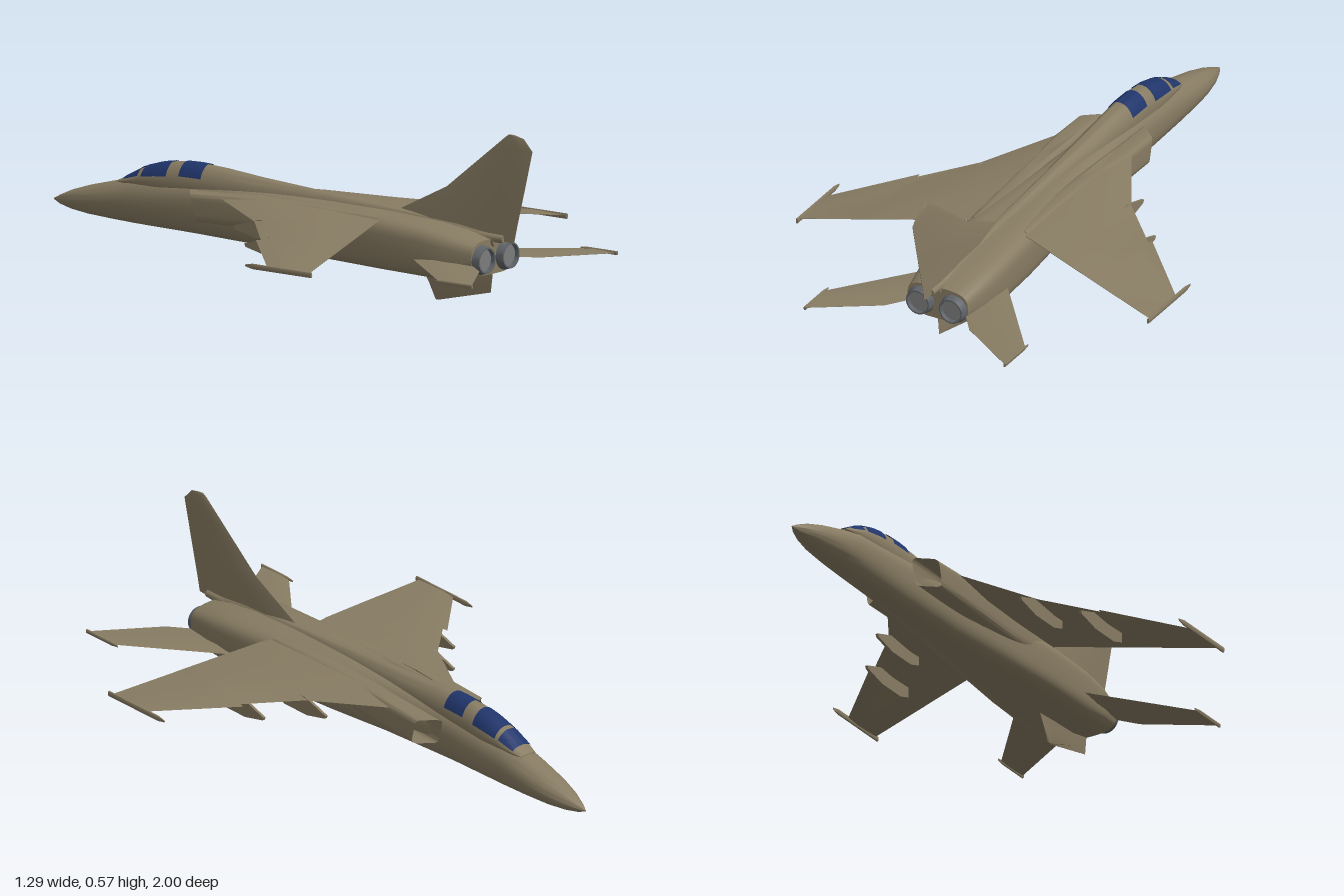
import * as THREE from 'three';
import { toCreasedNormals } from 'three/addons/utils/BufferGeometryUtils.js';

const mat = (name, color, side = THREE.DoubleSide) => {
  const m = new THREE.MeshStandardMaterial({ color, side });
  m.name = name;
  return m;
};

// Skin through rings of equal length; side -1 mirrors it in x
function loft(rings, { side = 1, capStart = true, capEnd = true, crease = 0.7, closed = true } = {}) {
  if (side < 0) rings = rings.map(r => r.map(p => new THREE.Vector3(-p.x, p.y, p.z)).reverse());
  const n = rings[0].length, pts = rings.flat(), index = [];
  for (let i = 0; i < rings.length - 1; i++) {
    for (let j = 0; j < (closed ? n : n - 1); j++) {
      const a = i * n + j, b = i * n + (j + 1) % n;
      index.push(a, b, a + n, b, b + n, a + n);
    }
  }
  const cap = (row, flip) => {
    const centre = rings[row].reduce((s, p) => s.add(p), new THREE.Vector3()).divideScalar(n);
    const c = pts.push(centre) - 1;
    for (let j = 0; j < n; j++) {
      const a = row * n + j, b = row * n + (j + 1) % n;
      index.push(c, flip ? b : a, flip ? a : b);
    }
  };
  if (capStart) cap(0, true);
  if (capEnd) cap(rings.length - 1, false);
  const g = new THREE.BufferGeometry().setFromPoints(pts);
  g.setIndex(index);
  return toCreasedNormals(g, crease);
}

// Superellipse section: [z, halfWidth, bottom, top, exponent, centreX]
function sectionPoint([z, w, yb, yt, e = 2, cx = 0], a, grow = 0) {
  const c = Math.cos(a), s = Math.sin(a), f = v => Math.sign(v) * Math.abs(v) ** (2 / e);
  return new THREE.Vector3(cx + (w + grow) * f(c), (yb + yt) / 2 + ((yt - yb) / 2 + grow) * f(s), z);
}
const ring = (s, n = 40) => Array.from({ length: n }, (_, j) => sectionPoint(s, j / n * Math.PI * 2));

// Linear lookup of a section at z
function sectionAt(list, z) {
  let i = 0;
  while (i < list.length - 2 && list[i + 1][0] < z) i++;
  const t = (z - list[i][0]) / (list[i + 1][0] - list[i][0]);
  return list[i].map((v, k) => v + (list[i + 1][k] - v) * t);
}

// Flying surface along +x: [span, leadingZ, trailingZ, y, thickness]
const profile = [[0.3, 0.5], [0.7, 0.32], [1, 0.03], [1, -0.03], [0.7, -0.32], [0.3, -0.5], [0, 0]];
const foil = (list, side = 1) => loft(
  list.map(([x, le, te, y, t]) => profile.map(([u, v]) => new THREE.Vector3(x, y + v * t, le + u * (te - le)))),
  { side, crease: 0.5 });

const BODY = [
  [-1, 0.001, 0.136, 0.139, 2], [-0.97, 0.016, 0.124, 0.155, 2], [-0.92, 0.034, 0.114, 0.177, 2],
  [-0.85, 0.05, 0.107, 0.2, 2], [-0.75, 0.06, 0.103, 0.226, 2.1], [-0.65, 0.064, 0.1, 0.25, 2.2],
  [-0.4, 0.066, 0.098, 0.268, 2.5], [-0.1, 0.08, 0.094, 0.272, 3], [0.15, 0.105, 0.09, 0.272, 3.6],
  [0.4, 0.124, 0.088, 0.268, 4], [0.6, 0.13, 0.086, 0.257, 4], [0.7, 0.126, 0.092, 0.245, 3.8],
  [0.79, 0.11, 0.112, 0.226, 3.4],
];
const SPINE = [
  [-0.72, 0.03, 0.228, 0.236], [-0.68, 0.04, 0.218, 0.256], [-0.62, 0.046, 0.2, 0.288],
  [-0.55, 0.05, 0.187, 0.309], [-0.48, 0.05, 0.181, 0.321], [-0.4, 0.05, 0.18, 0.324],
  [-0.3, 0.048, 0.186, 0.32], [-0.15, 0.042, 0.195, 0.308], [0.1, 0.03, 0.205, 0.294],
  [0.41, 0.022, 0.205, 0.278], [0.65, 0.018, 0.2, 0.262], [0.8, 0.014, 0.2, 0.24],
];
const INTAKE = [
  [-0.35, 0.034, 0.165, 0.254, 6, 0.104], [-0.2, 0.036, 0.165, 0.262, 5, 0.102],
  [-0.05, 0.036, 0.167, 0.268, 4, 0.094], [0.15, 0.034, 0.175, 0.268, 4, 0.084],
  [0.4, 0.03, 0.19, 0.262, 3, 0.08],
];

export function createModel() {
  const model = new THREE.Group();
  const tan = mat('tan paint', 0x877b62);
  const glass = mat('blue glass', 0x20356b);
  const metal = mat('nozzle metal', 0x5f6368);
  const exhaust = mat('exhaust grey', 0x7c7c7c);
  const add = (name, geometry, material = tan) => {
    const m = new THREE.Mesh(geometry, material);
    m.name = name;
    model.add(m);
    return m;
  };

  // Body and dorsal spine with canopy
  add('fuselage', loft(BODY.map(s => ring(s))));
  add('canopySpine', loft(SPINE.map(s => ring(s, 32))));

  // Canopy windows: [front z, back z, lower angle]
  const panes = { windscreen: [-0.688, -0.625, 0.42], frontWindow: [-0.61, -0.505, 0.36], rearWindow: [-0.455, -0.365, 0.42] };
  for (const [name, [z0, z1, low]] of Object.entries(panes)) {
    const rows = [];
    for (let i = 0; i <= 8; i++) {
      const s = sectionAt(SPINE, z0 + (z1 - z0) * i / 8);
      rows.push(Array.from({ length: 17 }, (_, j) => sectionPoint(s, low + (Math.PI - 2 * low) * j / 16, 0.003)));
    }
    add(name, loft(rows, { capStart: false, capEnd: false, closed: false }), glass);
  }

  // Fins
  add('tailFin', foil([
    [0.22, 0.36, 0.875, 0, 0.024], [0.276, 0.41, 0.888, 0, 0.022], [0.37, 0.6, 0.912, 0, 0.018],
    [0.523, 0.795, 0.95, 0, 0.011], [0.56, 0.842, 0.915, 0, 0.009], [0.568, 0.855, 0.88, 0, 0.007],
  ]).rotateZ(Math.PI / 2));
  add('ventralFin', foil([
    [-0.13, 0.48, 0.79, 0, 0.018], [-0.05, 0.53, 0.78, 0, 0.014], [-0.002, 0.555, 0.57, 0, 0.008],
  ]).rotateZ(-Math.PI / 2));
  const fairing = add('finFairing', new THREE.CylinderGeometry(0.013, 0.018, 0.12, 16).rotateX(Math.PI / 2));
  fairing.position.set(0, 0.228, 0.775);

  for (const side of [1, -1]) {
    const label = side > 0 ? 'left' : 'right';
    const part = (name, geometry, material) => add(label + name, geometry, material);

    // Open intake with a raked mouth
    const rings = INTAKE.map(s => ring(s));
    rings[0].forEach(p => { p.z += (p.x - 0.104) * 0.8 + (0.21 - p.y) * 0.25; });
    part('Intake', loft(rings, { side, capStart: false }));

    // Wing with a small dogtooth on the leading edge
    part('Wing', foil([
      [0.08, -0.3, 0.405, 0.255, 0.03], [0.138, -0.2, 0.423, 0.25, 0.03], [0.275, 0.04, 0.46, 0.23, 0.024],
      [0.42, 0.185, 0.498, 0.209, 0.018], [0.424, 0.168, 0.499, 0.208, 0.018], [0.637, 0.388, 0.555, 0.177, 0.009],
    ], side));
    part('Tailplane', foil([
      [0.07, 0.495, 0.76, 0.152, 0.016], [0.11, 0.545, 0.8, 0.151, 0.015],
      [0.155, 0.602, 0.86, 0.15, 0.014], [0.362, 0.865, 0.995, 0.149, 0.007],
    ], side));

    // Slim rails at the tips: [name, x, y, z start, z end, height]
    for (const [name, x, y, z0, z1, h] of [['WingTipRail', 0.64, 0.175, 0.3, 0.57, 0.018], ['TailTipRail', 0.364, 0.149, 0.85, 1, 0.013]]) {
      const m = z => [z, 0.004, y - h / 2, y + h / 2, 3, x];
      const tip = [z0, 0.001, y - 0.003, y + 0.003, 3, x];
      part(name, loft([tip, m(z0 + 0.03), m(z1)].map(s => ring(s, 12)), { side }));
    }

    // Underwing pylons: [name, x, y shift, z shift]
    for (const [name, x, dy, dz] of [['InnerPylon', 0.265, 0, 0], ['OuterPylon', 0.395, -0.02, 0.15]]) {
      const outline = [[-0.05, 0.205], [-0.045, 0.195], [0.04, 0.176], [0.15, 0.176], [0.2, 0.192], [0.2, 0.23], [0.05, 0.236]];
      const shape = new THREE.Shape(outline.map(([z, y]) => new THREE.Vector2(z + dz, y + dy)));
      const g = new THREE.ExtrudeGeometry(shape, { depth: 0.009, bevelEnabled: false });
      part(name, g.translate(0, 0, -0.0045).rotateY(-Math.PI / 2)).position.x = side * x;
    }

    // Twin engine nozzle, hollow, with a disc inside
    const nozzle = new THREE.LatheGeometry(
      [[0.05, 0.74], [0.048, 0.79], [0.042, 0.815], [0.037, 0.815], [0.036, 0.79]].map(p => new THREE.Vector2(...p)), 28);
    part('Nozzle', toCreasedNormals(nozzle.rotateX(Math.PI / 2), 0.6), metal).position.set(side * 0.06, 0.165, 0);
    part('ExhaustDisc', new THREE.CircleGeometry(0.037, 28), exhaust).position.set(side * 0.06, 0.165, 0.8);
  }
  return model;
}
